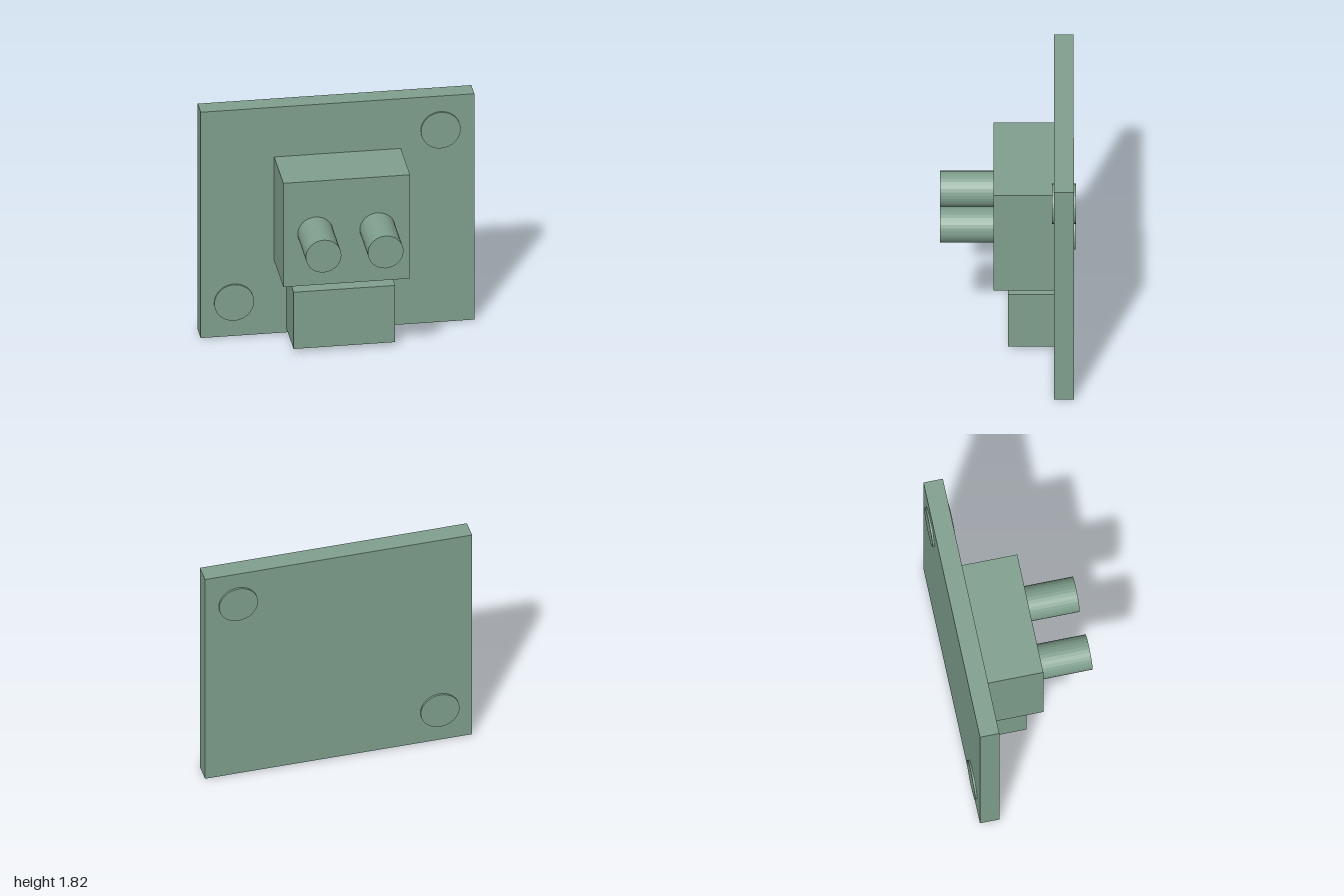
import * as THREE from 'three';

export function createModel() {
  const model = new THREE.Group();
  const material = new THREE.MeshStandardMaterial({ color: 0x80a08e, flatShading: true });

  const add = (name, geometry, x, y, z) => {
    const mesh = new THREE.Mesh(geometry, material);
    mesh.name = name;
    mesh.position.set(x, y, z);
    model.add(mesh);
  };
  // Box given by its extents on each axis
  const box = (name, [x0, x1], [y0, y1], [z0, z1]) =>
    add(name, new THREE.BoxGeometry(x1 - x0, y1 - y0, z1 - z0),
      (x0 + x1) / 2, (y0 + y1) / 2, (z0 + z1) / 2);
  // Round part running along z
  const rod = (name, r, x, y, z0, z1) =>
    add(name, new THREE.CylinderGeometry(r, r, z1 - z0, 32).rotateX(Math.PI / 2),
      x, y, (z0 + z1) / 2);

  // Flat mounting board
  box('board', [-1, 1], [0.007, 1.825], [-0.475, -0.332]);

  // Main housing with two round posts on its front
  box('housing', [-0.463, 0.463], [0.59, 1.425], [-0.332, 0.105]);
  rod('rightPost', 0.13, -0.228, 1.007, 0.105, 0.49);
  rod('leftPost', 0.13, 0.226, 1.007, 0.105, 0.49);

  // Connector block with a row of pins underneath
  box('connector', [-0.372, 0.37], [0.034, 0.49], [-0.332, 0]);
  for (let i = 0; i < 4; i++) {
    add('pin', new THREE.CylinderGeometry(0.02, 0.02, 0.06, 16), -0.205 + i * 0.136, 0.03, -0.2);
  }

  // Fastening discs through opposite corners of the board
  rod('upperDisc', 0.145, 0.753, 1.555, -0.49, -0.318);
  rod('lowerDisc', 0.145, -0.757, 0.28, -0.49, -0.318);

  return model;
}
